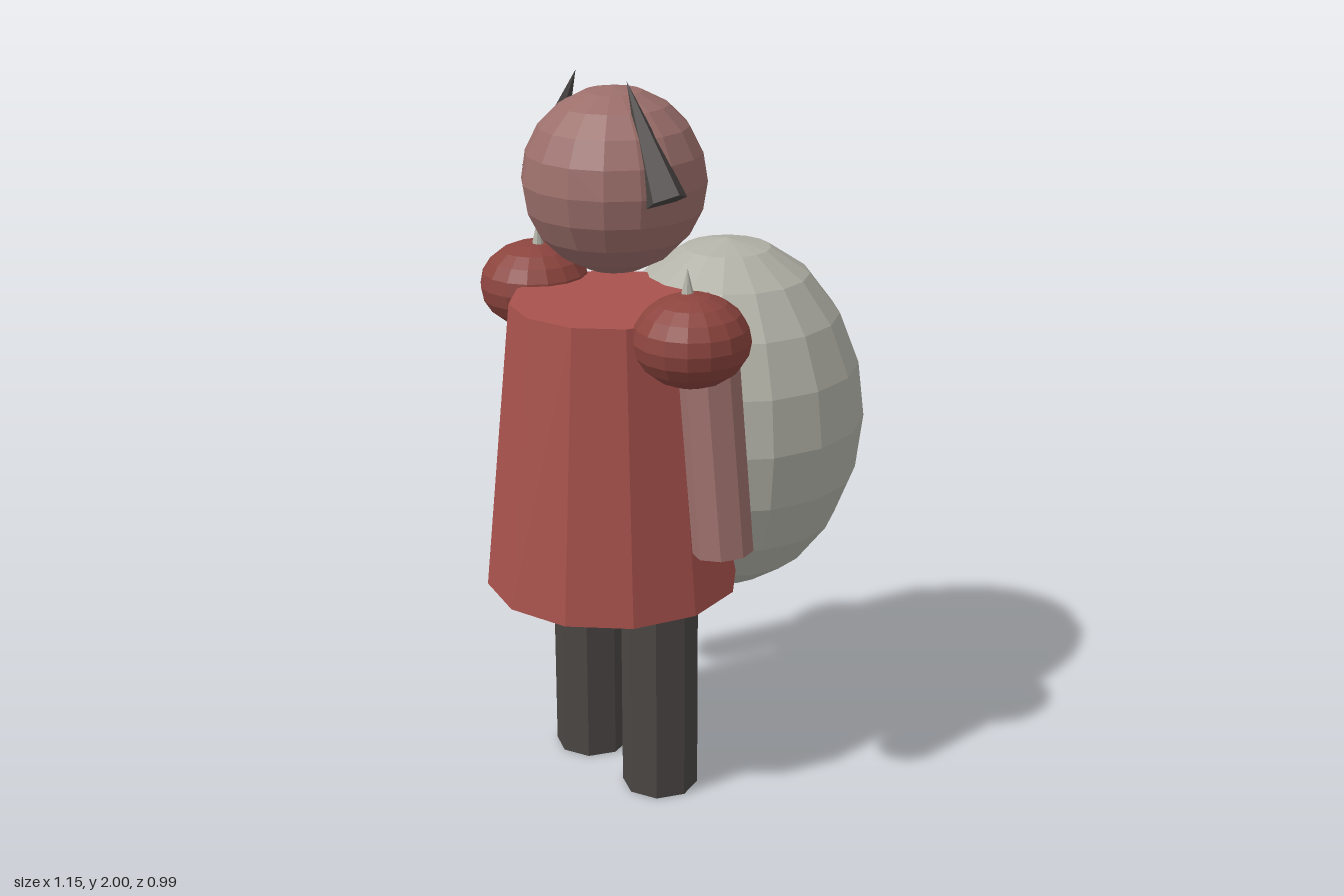
import * as THREE from 'three';

const material = (color) => new THREE.MeshStandardMaterial({ color, flatShading: true });

export function createModel() {
  const model = new THREE.Group();
  const skin = material(0x9c6f6b);
  const cloth = material(0xa8524c);
  const pad = material(0x8c443e);
  const dark = material(0x4a4644);
  const pale = material(0xb2b2a8);

  const add = (name, geometry, mat, x, y, z) => {
    const mesh = new THREE.Mesh(geometry, mat);
    mesh.name = name;
    mesh.position.set(x, y, z);
    model.add(mesh);
    return mesh;
  };
  const ball = (rx, ry) => new THREE.SphereGeometry(1, 16, 10).scale(rx, ry, rx);

  // Trunk and head
  add('torso', new THREE.CylinderGeometry(0.27, 0.35, 0.8, 12), cloth, -0.228, 1.0, 0);
  add('belly', ball(0.39, 0.51), pale, 0.187, 0.985, 0);
  add('head', ball(0.244, 0.244), skin, -0.21, 1.72, 0);

  // Paired parts, one on each side of z
  for (const s of [1, -1]) {
    const side = s > 0 ? 'Right' : 'Left';
    add('leg' + side, new THREE.CylinderGeometry(0.106, 0.106, 0.7, 8), dark, -0.19, 0.35, s * 0.154);

    const arm = add('arm' + side, new THREE.CylinderGeometry(0.08, 0.08, 0.6, 8), skin, -0.19, 1.095, s * 0.378);
    arm.rotation.x = -s * 0.12;

    add('shoulderPad' + side, ball(0.153, 0.122), pad, -0.229, 1.368, s * 0.332);
    add('shoulderSpike' + side, new THREE.ConeGeometry(0.024, 0.1, 8), pale, -0.229, 1.503, s * 0.315);

    // Horn leans inward, with one base corner pointing outward
    const hornShape = new THREE.ConeGeometry(0.058, 0.32, 5);
    if (s < 0) hornShape.rotateY(Math.PI);
    const horn = add('horn' + side, hornShape, dark, -0.25, 1.855, s * 0.181);
    horn.rotation.x = -s * 0.5;
  }
  return model;
}
